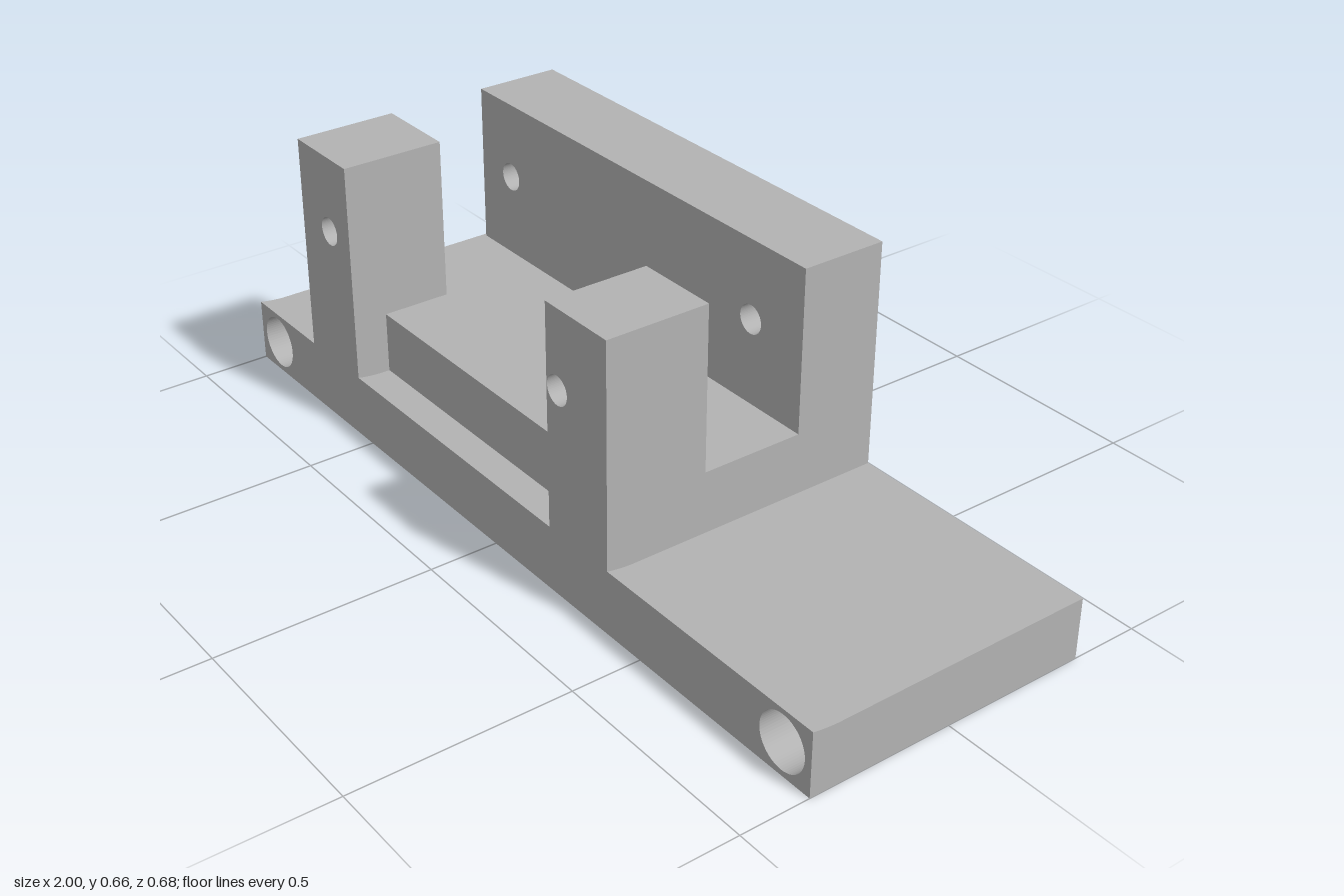
import * as THREE from 'three';

const BASE_TOP = 0.142, TOP = 0.66, FLOOR = 0.285;
const LEFT = -0.745, RIGHT = 0.395; // outer ends of the cradle
const FRONT = 0.34, BACK = -0.34;
const BORE_DEPTH = 0.25;

const rect = (x0, y0, x1, y1) => new THREE.Shape([
  new THREE.Vector2(x0, y0), new THREE.Vector2(x1, y0),
  new THREE.Vector2(x1, y1), new THREE.Vector2(x0, y1),
]);

export function createModel() {
  const group = new THREE.Group();
  const grey = new THREE.MeshStandardMaterial({ color: 0xb2b2b2 });
  grey.name = 'plain grey';

  const add = (name, geometry) => {
    const mesh = new THREE.Mesh(geometry, grey);
    mesh.name = name;
    group.add(mesh);
    return mesh;
  };

  // Rectangle with round holes [x, y, radius], extruded from z0 to z1
  const drilled = (name, x0, y0, x1, y1, z0, z1, holes = []) => {
    const shape = rect(x0, y0, x1, y1);
    for (const [x, y, r] of holes) {
      shape.holes.push(new THREE.Path().absarc(x, y, r, 0, Math.PI * 2, true));
    }
    const geometry = new THREE.ExtrudeGeometry(shape, { depth: z1 - z0, bevelEnabled: false, curveSegments: 32 });
    add(name, geometry.translate(0, 0, z0));
  };

  // Base plate: solid core between two layers with blind bores at the ends
  const bores = [[-0.92, 0.075, 0.0625], [0.92, 0.075, 0.0625]];
  drilled('baseFront', -1, 0, 1, BASE_TOP, FRONT - BORE_DEPTH, FRONT, bores);
  drilled('baseCore', -1, 0, 1, BASE_TOP, BACK + BORE_DEPTH, FRONT - BORE_DEPTH);
  drilled('baseBack', -1, 0, 1, BASE_TOP, BACK, BACK + BORE_DEPTH, bores);

  // Shallow upward curve along the front edge of the base
  const lip = new THREE.Shape();
  lip.moveTo(-FRONT, BASE_TOP);
  lip.lineTo(-0.28, BASE_TOP);
  lip.quadraticCurveTo(-0.31, BASE_TOP + 0.001, -FRONT, 0.149);
  const lipGeometry = new THREE.ExtrudeGeometry(lip, { depth: 2, bevelEnabled: false, curveSegments: 10 });
  add('frontLip', lipGeometry.rotateY(Math.PI / 2).translate(-1, 0, 0));

  // Back wall and two front posts with aligned through holes
  const pinLeft = [-0.63, 0.48, 0.033], pinRight = [0.235, 0.48, 0.033];
  drilled('backWall', LEFT, BASE_TOP, RIGHT, TOP, BACK, -0.14, [pinLeft, pinRight]);
  drilled('rightPost', LEFT, BASE_TOP, -0.545, TOP, 0.1, FRONT, [pinLeft]);
  drilled('leftPost', 0.2, BASE_TOP, RIGHT, TOP, 0.1, FRONT, [pinRight]);

  // T-shaped cradle floor, drawn in plan and raised upright
  const plan = [
    [LEFT, 0.14], [LEFT, -0.1], [-0.545, -0.1], [-0.545, -0.26],
    [0.2, -0.26], [0.2, -0.1], [RIGHT, -0.1], [RIGHT, 0.14],
  ].map(([x, y]) => new THREE.Vector2(x, y));
  const floor = new THREE.ExtrudeGeometry(new THREE.Shape(plan), { depth: FLOOR - BASE_TOP, bevelEnabled: false });
  add('cradleFloor', floor.rotateX(-Math.PI / 2).translate(0, BASE_TOP, 0));

  return group;
}
